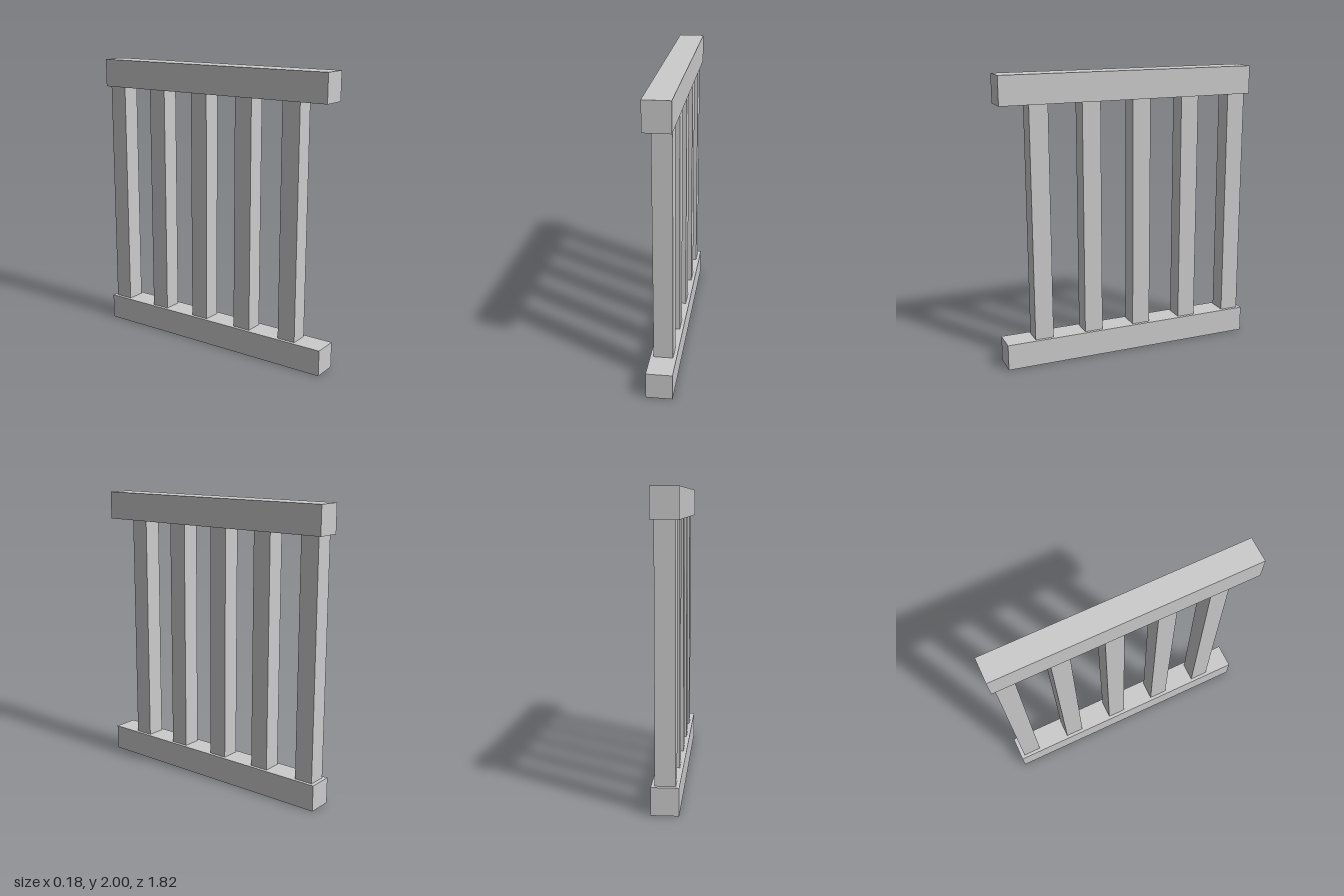
import * as THREE from 'three';

const material = new THREE.MeshStandardMaterial({ color: 0xcccccc, flatShading: true });

// Box spanning yMin..yMax, centred on x = 0 at the given z
function bar(name, width, depth, yMin, yMax, z = 0) {
  const mesh = new THREE.Mesh(new THREE.BoxGeometry(width, yMax - yMin, depth), material);
  mesh.name = name;
  mesh.position.set(0, (yMin + yMax) / 2, z);
  return mesh;
}

export function createModel() {
  const model = new THREE.Group();
  model.name = 'railing';

  const railWidth = 0.176, railLength = 1.82;
  const bottomRailTop = 0.18, topRailBottom = 1.805;

  // Horizontal rails
  model.add(bar('bottomRail', railWidth, railLength, 0, bottomRailTop));
  model.add(bar('topRail', railWidth, railLength, topRailBottom, 2));

  // Evenly spaced square balusters, set towards the back end
  const count = 5, size = 0.13, firstZ = 0.642, spacing = 0.365;
  for (let i = 0; i < count; i++) {
    model.add(bar(`baluster${i + 1}`, size, size, bottomRailTop, topRailBottom, firstZ - i * spacing));
  }
  return model;
}
